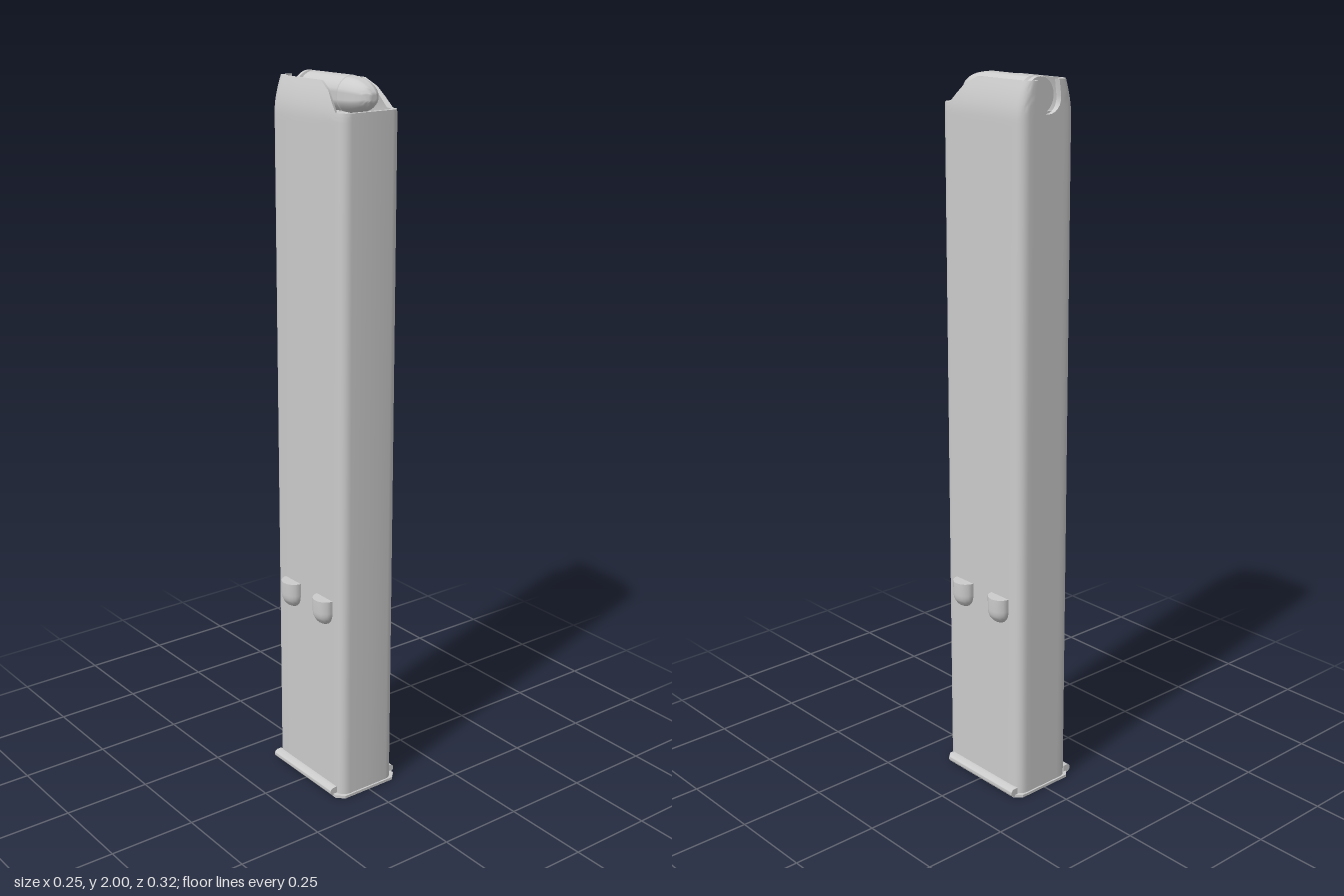
import * as THREE from 'three';
import { toCreasedNormals } from 'three/addons/utils/BufferGeometryUtils.js';

const grey = new THREE.MeshStandardMaterial({ color: 0xcccccc });
const greyDouble = new THREE.MeshStandardMaterial({ color: 0xcccccc, side: THREE.DoubleSide });

function add(parent, name, geometry, material = grey) {
  const mesh = new THREE.Mesh(toCreasedNormals(geometry, 0.6), material);
  mesh.name = name;
  parent.add(mesh);
  return mesh;
}

const HX = 0.093, HZ = 0.156, R = 0.028, WALL = 0.012;

// Outline of the tube, from the front centre round by +x to the back, then mirrored
function outline() {
  const half = [];
  const corner = (sz, a0, a1) => {
    for (let k = 0; k <= 5; k++) {
      const a = a0 + (a1 - a0) * k / 5;
      half.push([HX - R + R * Math.cos(a), sz * (HZ - R) + R * Math.sin(a)]);
    }
  };
  half.push([0, HZ]);
  corner(1, Math.PI / 2, 0);
  for (const z of [0.122, 0.1, 0.075, 0.055, 0.035, -0.05]) half.push([HX, z]);
  corner(-1, 0, -Math.PI / 2);
  for (const x of [0.05, 0.046, 0.045, 0.043, 0.038, 0.031, 0.022, 0.011, 0]) half.push([x, -HZ]);
  const mirror = half.slice(1, -1).reverse().map(([x, z]) => [-x, z]);
  return [...half, ...mirror];
}

// Height of the open rim: low front, sloped feed lips, round notch at the back
function rimHeight(x, z) {
  if (z > 0.122) return 1.92;
  if (z > 0.075) return THREE.MathUtils.mapLinear(z, 0.122, 0.075, 1.92, 1.97);
  if (z > 0.035) return THREE.MathUtils.mapLinear(z, 0.075, 0.035, 1.97, 1.99);
  if (z < -HZ + 0.001 && Math.abs(x) < 0.0455) return 1.95 - Math.sqrt(Math.max(0, 0.045 ** 2 - x * x));
  return 1.99;
}

// Thin walled tube whose top curls inwards to form the lips
function tubeGeometry() {
  const pts = outline(), steps = 7, pos = [], index = [];
  const rows = 2 * (steps + 2);
  for (const [x, z] of pts) {
    const h = rimHeight(x, z);
    const levels = [0.005];
    for (let k = 0; k <= steps; k++) levels.push(1.88 + (h - 1.88) * k / steps);
    const put = (px, pz, y) => {
      const t = Math.max(0, (y - 1.9) / 0.09);
      pos.push(px * (1 - 0.24 * t ** 1.7), y, pz);
    };
    levels.forEach(y => put(x, z, y));
    levels.reverse().forEach(y => put(x * (1 - WALL / HX), z * (1 - WALL / HZ), y));
  }
  for (let i = 0; i < pts.length; i++) {
    const n = (i + 1) % pts.length;
    for (let j = 0; j < rows - 1; j++) {
      const a = i * rows + j, b = n * rows + j;
      index.push(a, b, b + 1, a, b + 1, a + 1);
    }
  }
  const g = new THREE.BufferGeometry();
  g.setAttribute('position', new THREE.Float32BufferAttribute(pos, 3));
  g.setIndex(index);
  return g;
}

// One round lying along z: rim, groove, case and rounded tip
function roundGeometry() {
  const p = [[0, -0.138], [0.047, -0.138], [0.048, -0.136], [0.048, -0.126], [0.041, -0.124],
    [0.041, -0.118], [0.048, -0.112], [0.049, 0.048], [0.047, 0.05]];
  for (let k = 1; k <= 10; k++) {
    const a = k / 10 * Math.PI / 2;
    p.push([Math.max(0, 0.047 * Math.cos(a)), 0.05 + 0.092 * Math.sin(a)]);
  }
  return new THREE.LatheGeometry(p.map(q => new THREE.Vector2(...q)), 32).rotateX(Math.PI / 2);
}

// Stop bump: flat top, short straight side and rounded underside
function bumpGeometry() {
  const p = [];
  for (let k = 0; k <= 8; k++) {
    const a = k / 8 * Math.PI / 2;
    p.push(new THREE.Vector2(0.036 * Math.sin(a), 0.562 - 0.042 * Math.cos(a)));
  }
  p.push(new THREE.Vector2(0.036, 0.598), new THREE.Vector2(0, 0.598));
  return new THREE.LatheGeometry(p, 24);
}

export function createModel() {
  const model = new THREE.Group();
  model.name = 'boxTube';

  add(model, 'body', tubeGeometry(), greyDouble);

  // Rounds stacked in a stagger
  [[0.015, 1.951], [-0.014, 1.864]].forEach(([x, y], i) => {
    add(model, i ? 'lowerRound' : 'upperRound', roundGeometry()).position.set(x, y, 0);
  });

  // Base plate with cut corners
  const w = 0.105, d = 0.161, c = 0.02;
  const plate = new THREE.Shape([[w, d - c], [w - c, d], [c - w, d], [-w, d - c],
    [-w, c - d], [c - w, -d], [w - c, -d], [w, c - d]].map(q => new THREE.Vector2(...q)));
  add(model, 'basePlate', new THREE.ExtrudeGeometry(plate, { depth: 0.008, bevelEnabled: false })
    .rotateX(-Math.PI / 2));

  // Rolled rail profile, rounded on its outer edge
  const rail = new THREE.Shape();
  rail.moveTo(0.091, 0.003);
  rail.lineTo(0.103, 0.003);
  rail.absarc(0.103, 0.015, 0.012, -Math.PI / 2, Math.PI / 2, false);
  rail.lineTo(0.091, 0.027);
  rail.closePath();

  for (const side of [1, -1]) {
    const label = side > 0 ? 'left' : 'right';
    const g = new THREE.ExtrudeGeometry(rail, { depth: 0.275, bevelEnabled: false, curveSegments: 10 });
    g.translate(0, 0, -0.145);
    if (side < 0) g.rotateZ(Math.PI).translate(0, 0.03, 0);
    add(model, label + 'BaseRail', g);
    for (const z of [0.075, -0.073]) {
      add(model, label + (z > 0 ? 'FrontStop' : 'RearStop'), bumpGeometry()).position.set(side * 0.09, 0, z);
    }
  }
  return model;
}
